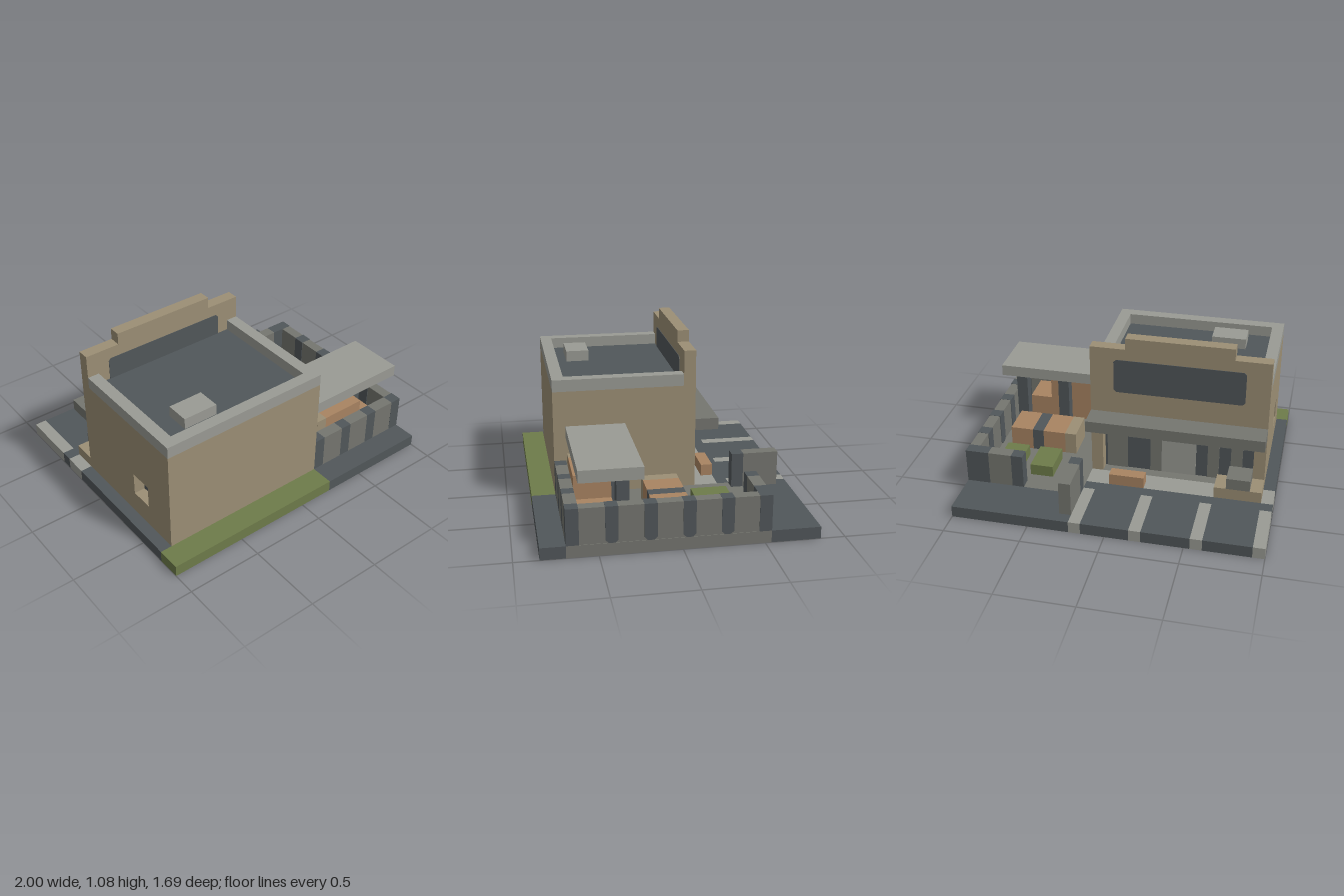
import * as THREE from 'three';

// All sizes are in grid cells; 13 cells make one unit.
const CELL = 1 / 13;

export function createModel() {
  const paint = (name, hex) => {
    const m = new THREE.MeshStandardMaterial({ color: hex });
    m.name = name;
    return m;
  };
  const tan = paint('tanWall', 0x9c8f75);
  const light = paint('lightConcrete', 0x9a9b94);
  const grey = paint('greyConcrete', 0x757670);
  const dark = paint('darkAsphalt', 0x51575a);
  const green = paint('grassGreen', 0x6e7c4a);
  const orange = paint('crateOrange', 0xa98462);

  const model = new THREE.Group();
  model.name = 'shopWithYard';
  const grid = new THREE.Group();
  grid.name = 'grid';
  grid.scale.setScalar(CELL);
  model.add(grid);

  function box(name, mat, x0, x1, y0, y1, z0, z1) {
    const mesh = new THREE.Mesh(new THREE.BoxGeometry(x1 - x0, y1 - y0, z1 - z0), mat);
    mesh.position.set((x0 + x1) / 2, (y0 + y1) / 2, (z0 + z1) / 2);
    mesh.name = name;
    grid.add(mesh);
    return mesh;
  }
  // Flat outline extruded along +z, with optional holes
  function panel(name, mat, outline, depth, holes = []) {
    const toPoints = (list) => list.map(([x, y]) => new THREE.Vector2(x, y));
    const shape = new THREE.Shape(toPoints(outline));
    holes.forEach((h) => shape.holes.push(new THREE.Path(toPoints(h))));
    const mesh = new THREE.Mesh(new THREE.ExtrudeGeometry(shape, { depth, bevelEnabled: false }), mat);
    mesh.name = name;
    grid.add(mesh);
    return mesh;
  }
  const rect = (x0, x1, y0, y1) => [[x0, y0], [x1, y0], [x1, y1], [x0, y1]];

  // Ground slab, coloured right through
  const lotEdges = [-13, -12, -8, -7, -3, -2, 2, 3];
  for (let i = 0; i < 7; i++) {
    box(i % 2 ? 'parkingBay' : 'parkingLine', i % 2 ? dark : light, lotEdges[i], lotEdges[i + 1], 0, 1, -11, -6);
  }
  box('driveway', dark, 3, 13, 0, 1, -11, -7);
  box('gutter', dark, -13, 3, 0, 1, -6, -5);
  box('sidewalk', light, -13, 3, 0, 1, -5, -3);
  box('sidePath', dark, -13, -12, 0, 1, -3, 9);
  box('shopFloor', grey, -12, 3, 0, 1, -3, 9);
  box('yardFloor', grey, 3, 13, 0, 1, -7, 9);
  box('lawn', green, -13, 3, 0, 1, 9, 11);
  box('rearLane', dark, 3, 13, 0, 1, 9, 11);

  // Shop body, side wall with a window recess
  box('shopBody', tan, -11, 3, 1, 10, -2, 9);
  const sideWall = panel('sideWall', tan, rect(-2, 9, 1, 10), 1, [rect(4, 6, 3, 5)]);
  sideWall.rotation.y = -Math.PI / 2;
  sideWall.position.x = -11;
  box('sideWindow', dark, -11.06, -11, 3, 5, 4, 6);

  // Roof deck, rim and vent
  box('roofDeck', dark, -11, 2, 10, 10.06, -2, 8);
  box('roofRimRight', light, -12, -11, 10, 11, -2, 9);
  box('roofRimLeft', light, 2, 3, 10, 11, -2, 9);
  box('roofRimFront', light, -11, 2, 10, 11, 8, 9);
  box('roofUnit', light, -9, -6, 10, 11, 5, 7);

  // Stepped facade with an open shop front
  panel('facade', tan, [
    [-12, 1], [-11, 1], [-11, 6], [2, 6], [2, 1], [3, 1], [3, 13],
    [0, 13], [0, 14], [-9, 14], [-9, 13], [-12, 13],
  ], 1).position.z = -3;

  // Blank sign boards on both sides of the facade
  const c = 0.22;
  const board = (y0) => [
    [-10 + c, y0], [1 - c, y0], [1, y0 + c], [1, 12 - c],
    [1 - c, 12], [-10 + c, 12], [-10, 12 - c], [-10, y0 + c],
  ];
  panel('signBoardStreet', dark, board(9), 0.05).position.z = -3.04;
  panel('signBoardRoof', dark, board(9.8), 0.05).position.z = -2.01;

  // Shop front glazing and awning
  box('shopFrontFrame', dark, -11, 2, 1, 6, -2.06, -2);
  for (const [x0, x1, mat] of [[0, 1.8, grey], [-3, -2, grey], [-6, -3, light], [-8, -7, grey], [-10, -9, grey]]) {
    box('shopFrontPane', mat, x0, x1, 1, 5.8, -2.12, -2.06);
  }
  box('awning', grey, -12, 3, 6, 7, -5, -3);

  // Sidewalk items
  box('sidewalkCrate', orange, -2, 1, 1, 2, -5, -4);
  box('sidewalkCounter', tan, -12, -8, 1, 2, -5, -3);
  box('counterTop', grey, -11, -9, 2, 3, -5, -3);

  // Yard wall: striped side, front and back runs, gate wing
  box('yardSideWall', grey, 12.05, 12.95, 1, 3.98, -6.95, 8.95);
  for (let z = -7; z <= 8; z += 3) {
    const k = 0.25;
    const post = panel('sideWallStripe', dark, [
      [z, 1 + k], [z + k, 1], [z + 1 - k, 1], [z + 1, 1 + k], [z + 1, 4], [z, 4],
    ], 1);
    post.rotation.y = -Math.PI / 2;
    post.position.x = 13;
  }
  for (let x = 3; x < 12; x += 3) {
    box('frontWallStripe', dark, x, x + 1, 1, 4, 8, 9);
    box('frontWall', grey, x + 1, x + 3, 1, 4, 8, 9);
  }
  box('frontWallCorner', dark, 12, 13, 1, 4, 8, 9.01);
  box('backWallStripe', dark, 8, 9, 1, 4, -7, -6);
  box('backWall', grey, 9, 11, 1, 4, -7, -6);
  box('backWallCorner', dark, 11, 13, 1, 4, -7.01, -6);
  box('gateWing', grey, 3, 4, 1, 4, -10, -7);
  box('gatePost', dark, 3, 4, 1, 4, -7, -6);

  // Canopy on three posts
  box('canopy', light, 3, 13, 6, 7, 3, 8);
  for (const x of [3, 7, 11]) box('canopyPost', dark, x, x + 1, 1, 6, 4, 5);

  // Crates under the canopy and in the yard
  box('lowerCrate', orange, 4, 11, 1, 3, 5, 8);
  box('upperCrateEnd', tan, 4, 5, 3, 5, 5, 8);
  box('upperCrate', orange, 5, 9, 3, 5, 5, 8);
  box('yardCrateEnd', tan, 5, 6, 1, 3, -1, 2);
  box('yardCrate', orange, 6, 8, 1, 3, -1, 2);
  box('yardCrateStrap', dark, 8, 9, 1, 3, -1, 2);
  box('yardCrate', orange, 9, 11, 1, 3, -1, 2);

  // Planting beds
  for (const x of [6, 9]) box('plantingBed', green, x, x + 2, 1, 2, -5, -2);

  return model;
}
